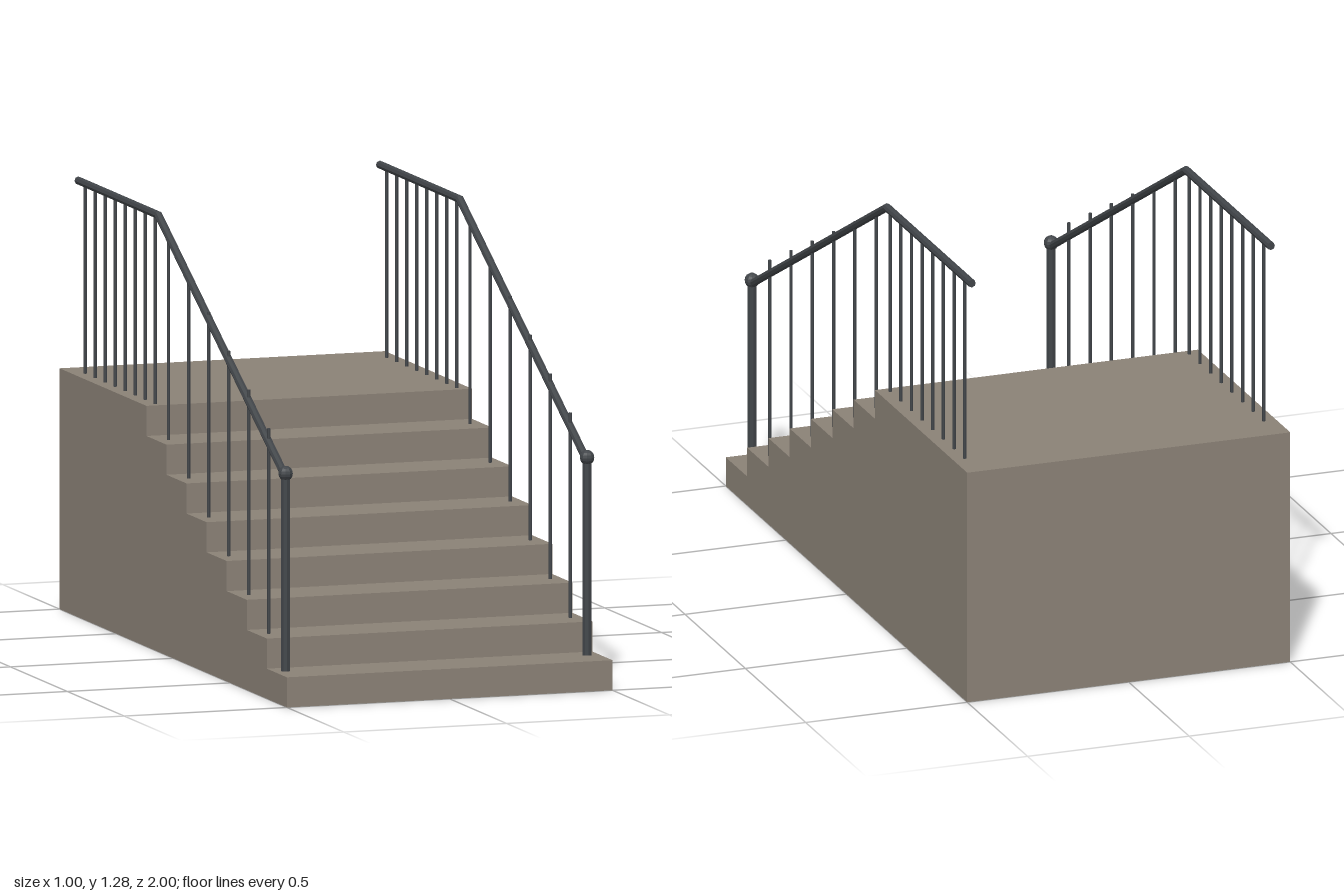
import * as THREE from 'three';

const STEPS = 8, RISE = 0.0883, RUN = 0.1765, TOP = STEPS * RISE;
const RAIL_X = 0.463, RAIL_Y = 1.264, POST_Z = 0.882, BEND_Z = 1 - 7 * RUN;

const stone = new THREE.MeshStandardMaterial({ color: 0x8a8176 });
stone.name = 'stone';
const iron = new THREE.MeshStandardMaterial({ color: 0x414549, flatShading: true });
iron.name = 'iron';

function add(parent, name, geometry, material) {
  const mesh = new THREE.Mesh(geometry, material);
  mesh.name = name;
  parent.add(mesh);
  return mesh;
}

// Upright round bar standing on y = base
function bar(parent, name, radius, base, top, z, sides) {
  const geometry = new THREE.CylinderGeometry(radius, radius, top - base, sides);
  add(parent, name, geometry, iron).position.set(0, (base + top) / 2, z);
}

// Solid flight of steps and landing, extruded from its side profile
function staircase() {
  const profile = new THREE.Shape();
  profile.moveTo(-1, 0);
  profile.lineTo(1, 0);
  for (let i = 0; i < STEPS; i++) {
    const z = 1 - i * RUN;
    if (i > 0) profile.lineTo(z, i * RISE);
    profile.lineTo(z, (i + 1) * RISE);
  }
  profile.lineTo(-1, TOP);
  profile.closePath();
  return new THREE.ExtrudeGeometry(profile, { depth: 1, bevelEnabled: false })
    .translate(0, 0, -0.5).rotateY(-Math.PI / 2);
}

// Handrail: a cylinder whose three rings are moved to the start, mitred bend and end
function handrail() {
  const slope = Math.atan2(RAIL_Y - 0.658, POST_Z - BEND_Z);
  const rings = [
    { y: 0.658, z: POST_Z, tilt: slope, stretch: 1 },
    { y: RAIL_Y, z: BEND_Z, tilt: slope / 2, stretch: 1 / Math.cos(slope / 2) },
    { y: RAIL_Y, z: -0.94, tilt: 0, stretch: 1 },
  ];
  const geometry = new THREE.CylinderGeometry(0.012, 0.012, 2, 8, 2);
  const p = geometry.attributes.position;
  for (let i = 0; i < p.count; i++) {
    const ring = rings[Math.round(p.getY(i)) + 1];
    const up = p.getZ(i) * ring.stretch;
    p.setXYZ(i, p.getX(i), ring.y + up * Math.cos(ring.tilt), ring.z + up * Math.sin(ring.tilt));
  }
  geometry.computeVertexNormals();
  return geometry;
}

function railing(name, x) {
  const group = new THREE.Group();
  group.name = name;
  group.position.x = x;
  // Bottom post with ball cap
  bar(group, 'post', 0.0135, RISE, 0.66, POST_Z, 8);
  add(group, 'postBall', new THREE.SphereGeometry(0.022, 10, 8), iron).position.set(0, 0.668, POST_Z);
  add(group, 'handrail', handrail(), iron);
  // One baluster in the middle of each step
  for (let i = 1; i < STEPS - 1; i++) {
    const base = (i + 1) * RISE;
    bar(group, 'stepBaluster', 0.005, base, base + 0.602, 1 - (i + 0.5) * RUN, 6);
  }
  // Closer balusters along the landing
  for (let i = 0; i < 8; i++) {
    bar(group, 'landingBaluster', 0.005, TOP, RAIL_Y, -0.263 - i * 0.0882, 6);
  }
  return group;
}

export function createModel() {
  const model = new THREE.Group();
  model.name = 'staircase';
  add(model, 'steps', staircase(), stone);
  model.add(railing('leftRailing', RAIL_X), railing('rightRailing', -RAIL_X));
  return model;
}
